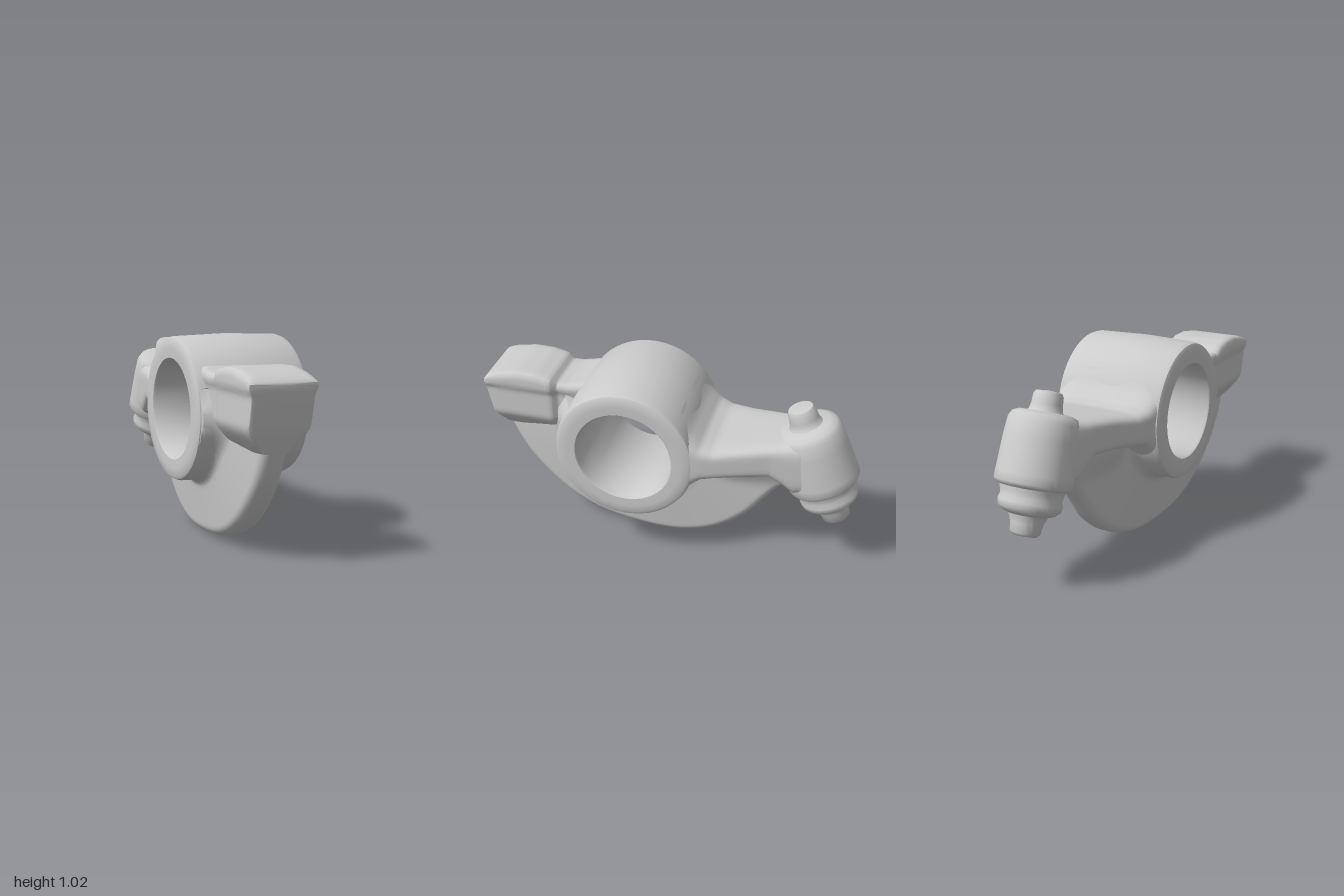
import * as THREE from 'three';
import { toCreasedNormals } from 'three/addons/utils/BufferGeometryUtils.js';

const HUB = { y: 0.65, z: 0.17 };
const { lerp, smoothstep } = THREE.MathUtils;

// Linear lookup in rows sorted by their first value
function sample(rows, key) {
  let i = 0;
  while (i < rows.length - 2 && key > rows[i + 1][0]) i++;
  const a = rows[i], b = rows[i + 1];
  const t = (key - a[0]) / (b[0] - a[0]);
  return a.map((v, k) => lerp(v, b[k], t));
}

// Closed skin over a list of equal rings of [x, y, z], capped at both ends
function skin(rings) {
  const n = rings[0].length, last = rings.length - 1, index = [];
  const centre = (ring) => [0, 1, 2].map((k) => ring.reduce((sum, q) => sum + q[k], 0) / n);
  const pos = [...rings.flat(), centre(rings[0]), centre(rings[last])].flat();
  const c0 = rings.length * n, c1 = c0 + 1;
  for (let j = 0; j < n; j++) {
    const j1 = (j + 1) % n;
    for (let i = 0; i < last; i++) {
      const a = i * n + j, b = i * n + j1;
      index.push(a, b, a + n, b, b + n, a + n);
    }
    index.push(c0, j1, j, c1, last * n + j, last * n + j1);
  }
  const geo = new THREE.BufferGeometry();
  geo.setAttribute('position', new THREE.Float32BufferAttribute(pos, 3));
  geo.setIndex(index);
  return geo;
}

// Rounded-rectangle sections along z from rows of [z, top, bottom, left, right];
// a higher power gives sharper corners, narrow() may reshape the sides
function loft(rows, power, narrow = (y, x0, x1) => [x0, x1]) {
  const n = 80, sub = 4, stations = [];
  for (let i = 0; i < rows.length - 1; i++)
    for (let k = 0; k < sub; k++) stations.push(lerp(rows[i][0], rows[i + 1][0], k / sub));
  stations.push(rows[rows.length - 1][0]);
  return skin(stations.map((z) => {
    const [, top, bottom, left, right] = sample(rows, z);
    return Array.from({ length: n }, (_, j) => {
      const t = ((j + 0.5) / n) * Math.PI * 2, c = Math.cos(t), s = Math.sin(t);
      const r = 0.5 / (Math.abs(c) ** power + Math.abs(s) ** power) ** (1 / power);
      const y = lerp(bottom, top, 0.5 + r * s);
      const [x0, x1] = narrow(y, left, right);
      return [lerp(x0, x1, 0.5 + r * c), y, z];
    });
  }));
}

const lathe = (pts, seg) => new THREE.LatheGeometry(pts.map(([r, h]) => new THREE.Vector2(r, h)), seg);

export function createModel() {
  const group = new THREE.Group();
  const material = new THREE.MeshStandardMaterial({ color: 0xcccccc });
  const add = (name, geo, crease = 0.7) => {
    const mesh = new THREE.Mesh(toCreasedNormals(geo, crease), material);
    mesh.name = name;
    group.add(mesh);
    return mesh;
  };

  // Pivot hub: a thick ring around the x axis with softened rims
  const hub = lathe([
    [0.249, -0.29], [0.255, -0.298], [0.3, -0.3], [0.34, -0.298], [0.355, -0.29], [0.362, -0.27],
    [0.37, 0], [0.362, 0.27], [0.355, 0.29], [0.34, 0.298], [0.3, 0.3], [0.255, 0.298],
    [0.249, 0.29], [0.249, -0.29],
  ], 72);
  hub.rotateZ(-Math.PI / 2);
  add('pivotHub', hub).position.set(0, HUB.y, HUB.z);

  // Stiffening web swept around the hub: outer rim as [z, y], turned into [angle, radius]
  const rim = new THREE.CatmullRomCurve3([
    [0.76, 0.88], [0.88, 0.77], [0.95, 0.63], [0.93, 0.53], [0.86, 0.385], [0.75, 0.25], [0.6, 0.125],
    [0.42, 0.04], [0.2, 0.003], [-0.05, 0.005], [-0.25, 0.07], [-0.42, 0.2], [-0.52, 0.33],
    [-0.6, 0.43], [-0.68, 0.49], [-0.7, 0.56], [-0.7, 0.66],
  ].map(([z, y]) => new THREE.Vector3(0, y, z)));
  const web = rim.getSpacedPoints(90).map(({ y: rimY, z: rimZ }) => {
    const dz = rimZ - HUB.z, dy = rimY - HUB.y, R = Math.hypot(dz, dy);
    // The fillet against the hub grows toward the front pad
    const bump = Math.exp(-((Math.atan2(dy, dz) / 0.35) ** 2));
    const reach = lerp(0.045, 0.14, bump), flare = lerp(0.05, 0.2, bump);
    const half = (r) => 0.112 - 0.125 * Math.max(0, r - 0.35);
    const side = [[0.33, half(0.33) + flare]];
    for (let k = 0; k <= 8; k++) {
      const r = 0.362 + (reach * k) / 8;
      side.push([r, half(r) + flare * (1 - Math.sqrt(1 - (1 - k / 8) ** 2))]);
    }
    const inner = 0.362 + reach, outer = R - 0.05, edge = half(outer);
    for (let k = 1; k <= 8; k++) {
      const r = lerp(inner, outer, k / 8);
      side.push([r, half(r)]);
    }
    for (let k = 1; k <= 6; k++) {
      const t = (k / 6) * Math.PI / 2;
      side.push([outer + 0.05 * Math.sin(t), edge - 0.05 * (1 - Math.cos(t))]);
    }
    const mirrored = side.map(([r, x]) => [r, -x]).reverse();
    return [...side, ...mirrored].map(([r, x]) => {
      const y = HUB.y + (dy / R) * r, z = HUB.z + (dz / R) * r;
      // Widens softly into the underside of the rear arm
      const spread = 1 + 0.8 * smoothstep(y, 0.42, 0.62) * smoothstep(-z, 0.2, 0.35);
      return [Math.max(-0.285, -0.045 - 0.06 * z + x * spread), y, z];
    });
  });
  add('web', skin(web), 0.9);

  // Rear arm tapering from the hub and running into the adjuster boss
  add('rearArm', loft([
    [-0.8, 0.86, 0.56, -0.125, 0.175],
    [-0.74, 0.838, 0.5, -0.145, 0.195],
    [-0.68, 0.808, 0.5, -0.152, 0.202],
    [-0.62, 0.793, 0.55, -0.158, 0.208],
    [-0.56, 0.785, 0.592, -0.166, 0.215],
    [-0.4, 0.765, 0.58, -0.2, 0.25],
    [-0.28, 0.75, 0.565, -0.245, 0.275],
    [-0.22, 0.766, 0.55, -0.27, 0.287],
    [-0.16, 0.82, 0.49, -0.295, 0.295],
    [-0.1, 0.9, 0.4, -0.295, 0.295],
  ], 5), 0.9);

  // Front pad on a short neck, narrowing below to the web
  add('frontPad', loft([
    [0.43, 0.89, 0.45, -0.262, 0.05],
    [0.5, 0.872, 0.5, -0.262, 0.05],
    [0.55, 0.862, 0.53, -0.26, 0.048],
    [0.605, 0.862, 0.54, -0.257, 0.048],
    [0.635, 0.89, 0.54, -0.266, 0.072],
    [0.72, 0.908, 0.53, -0.268, 0.073],
    [0.82, 0.91, 0.52, -0.268, 0.073],
    [0.93, 0.89, 0.53, -0.268, 0.073],
    [0.965, 0.877, 0.63, -0.268, 0.073],
    [0.99, 0.862, 0.75, -0.268, 0.073],
    [1, 0.852, 0.83, -0.266, 0.071],
  ], 14, (y, x0, x1) => {
    const k = smoothstep(y, 0.5, 0.66), lip = 0.015 * (1 - smoothstep(y, 0.79, 0.83));
    return [lerp(-0.165, x0 + lip, k), lerp(-0.035, x1 - lip, k)];
  }), 0.8);

  // Tilted adjuster: boss, lock nut, screw tip and stud on one axis
  const adjuster = {
    adjusterBoss: [[0, 0.2], [0.15, 0.215], [0.178, 0.225], [0.188, 0.24], [0.186, 0.28],
      [0.178, 0.45], [0.17, 0.53], [0.155, 0.558], [0.125, 0.572], [0, 0.578]],
    lockNut: [[0, 0.085], [0.09, 0.088], [0.125, 0.1], [0.15, 0.122], [0.154, 0.15],
      [0.146, 0.172], [0.152, 0.2], [0.16, 0.23], [0, 0.235]],
    screwTip: [[0, -0.012], [0.06, -0.008], [0.073, 0.006], [0.078, 0.05], [0.09, 0.08], [0.1, 0.1], [0, 0.11]],
    screwStud: [[0.1, 0.56], [0.08, 0.58], [0.074, 0.61], [0.072, 0.65], [0.062, 0.668], [0, 0.675]],
  };
  for (const [name, profile] of Object.entries(adjuster)) {
    const mesh = add(name, lathe(profile, 36), 0.8);
    mesh.position.set(0.024, 0.3, -0.9);
    mesh.rotation.x = 0.357;
  }
  return group;
}
